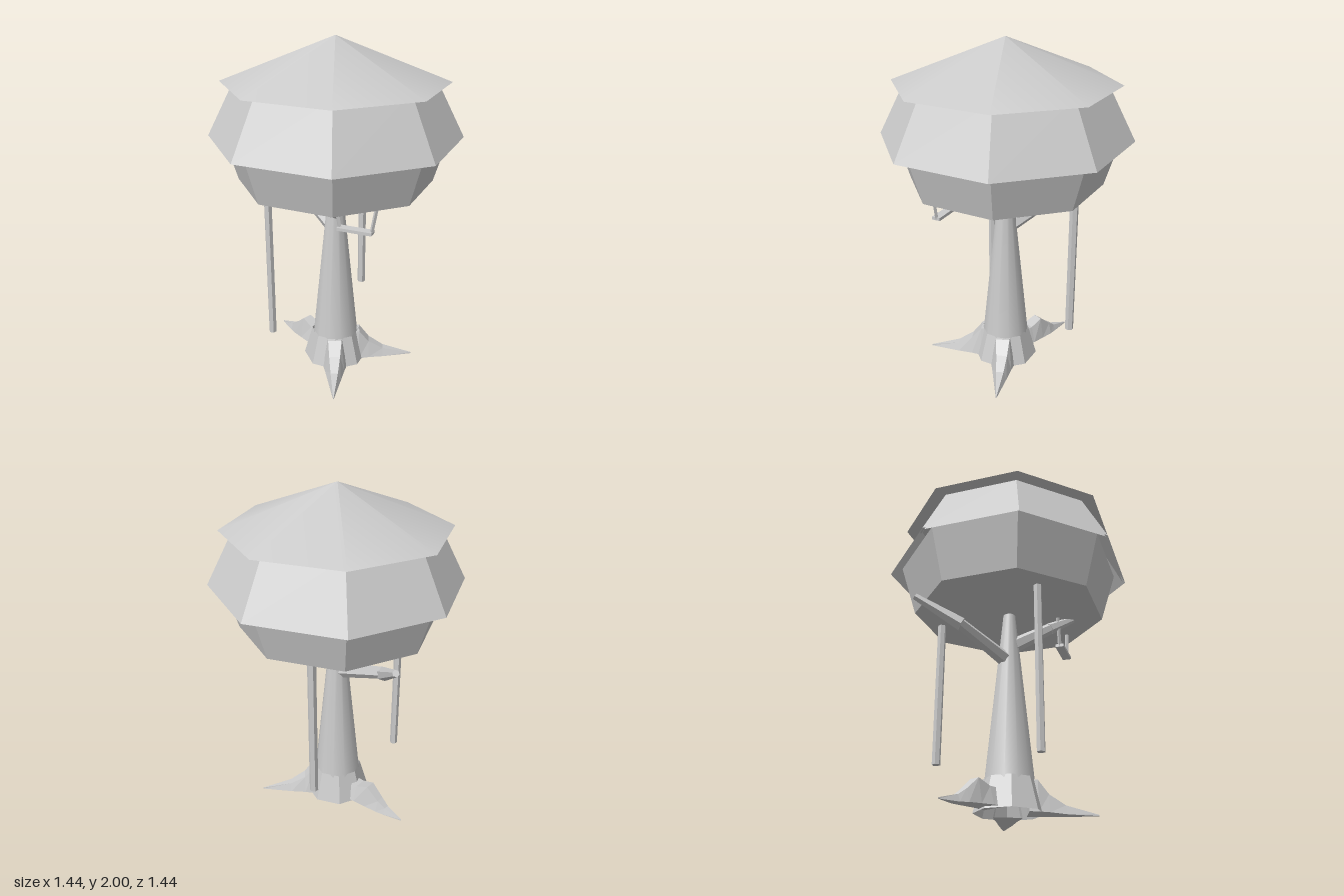
import * as THREE from 'three';

const flat = new THREE.MeshStandardMaterial({ color: 0xcccccc, flatShading: true, side: THREE.DoubleSide });
const smooth = new THREE.MeshStandardMaterial({ color: 0xcccccc, side: THREE.DoubleSide });
const V = (x, y, z) => new THREE.Vector3(x, y, z);

function add(parent, name, geometry, material = flat) {
  const mesh = new THREE.Mesh(geometry, material);
  mesh.name = name;
  parent.add(mesh);
  return mesh;
}

// Octagonal or round frustum between two heights
function frustum(parent, name, y0, r0, y1, r1, { sides = 8, open = true, material = flat } = {}) {
  const mesh = add(parent, name, new THREE.CylinderGeometry(r1, r0, y1 - y0, sides, 1, open), material);
  mesh.position.y = (y0 + y1) / 2;
  return mesh;
}

// Tapered straight limb between two points
function limb(parent, name, a, b, ra, rb, sides = 6) {
  const mesh = add(parent, name, new THREE.CylinderGeometry(rb, ra, a.distanceTo(b), sides));
  mesh.position.copy(a).lerp(b, 0.5);
  mesh.quaternion.setFromUnitVectors(V(0, 1, 0), b.clone().sub(a).normalize());
  return mesh;
}

// Root running along +x; each section is [distance, half width, bottom, top]
function rootGeometry(sections) {
  const positions = [];
  const rings = sections.map(([x, w, lo, hi]) => [
    [x, lo, w], [x, hi, w * 0.55], [x, hi, -w * 0.55], [x, lo, -w],
  ]);
  for (let i = 0; i < rings.length - 1; i++) {
    for (let j = 0; j < 4; j++) {
      const k = (j + 1) % 4;
      const [a, b, c, d] = [rings[i][j], rings[i + 1][j], rings[i + 1][k], rings[i][k]];
      positions.push(...a, ...b, ...c, ...a, ...c, ...d);
    }
  }
  const geometry = new THREE.BufferGeometry();
  geometry.setAttribute('position', new THREE.Float32BufferAttribute(positions, 3));
  geometry.computeVertexNormals();
  return geometry;
}

export function createModel() {
  const model = new THREE.Group();
  model.name = 'treeHouse';

  // Trunk and flared foot
  frustum(model, 'trunk', 0.17, 0.14, 1.2, 0.034, { sides: 12, material: smooth });
  frustum(model, 'trunkFoot', 0.01, 0.195, 0.19, 0.145);

  // Two straight roots and one humped root
  const straight = [[0.1, 0.08, 0.01, 0.19], [0.15, 0.075, 0.01, 0.185], [0.21, 0.06, 0.01, 0.11],
    [0.3, 0.04, 0.005, 0.055], [0.48, 0.002, 0.005, 0.012]];
  const humped = [[0.12, 0.07, 0.02, 0.12], [0.19, 0.065, 0.02, 0.12], [0.27, 0.055, 0.015, 0.15],
    [0.35, 0.045, 0.01, 0.08], [0.4, 0.03, 0.005, 0.045], [0.515, 0.002, 0.005, 0.012]];
  for (const side of [1, -1]) {
    add(model, side > 0 ? 'frontRoot' : 'backRoot', rootGeometry(straight)).rotation.y = -side * Math.PI / 4;
  }
  add(model, 'humpedRoot', rootGeometry(humped)).rotation.y = Math.PI;

  // Canopy house: walls with floor, sloping skirt, roof
  frustum(model, 'walls', 1.18, 0.56, 1.48, 0.652, { open: false });
  frustum(model, 'skirt', 1.44, 0.72, 1.78, 0.545);
  frustum(model, 'skirtLining', 1.44, 0.705, 1.77, 0.535);
  const roof = add(model, 'roof', new THREE.ConeGeometry(0.64, 0.25, 8, 1, true), smooth);
  roof.position.y = 1.875;
  const eaves = add(model, 'eaves', new THREE.CircleGeometry(0.64, 8));
  eaves.rotation.x = Math.PI / 2;
  eaves.position.y = 1.75;

  // Hanging poles
  limb(model, 'frontPole', V(-0.175, 0.24, 0.36), V(-0.178, 1.2, 0.36), 0.023, 0.023);
  limb(model, 'backPole', V(-0.168, 0.31, -0.4), V(-0.168, 1.2, -0.4), 0.025, 0.025);

  // Bent branch on the right
  const elbow = V(-0.39, 1.02, -0.05);
  limb(model, 'rightBranch', V(-0.03, 0.885, 0), elbow, 0.045, 0.032);
  limb(model, 'rightBranchTip', V(-0.365, 1.0, -0.035), V(-0.57, 1.15, -0.2), 0.042, 0.02);

  // Branch on the left, reaching up to the floor
  limb(model, 'leftBranch', V(0.01, 0.98, 0.01), V(0.2, 1.125, 0.18), 0.045, 0.032);
  limb(model, 'leftBranchTip', V(0.18, 1.11, 0.165), V(0.3, 1.19, 0.25), 0.036, 0.02);

  // Swing
  const swing = new THREE.Group();
  swing.name = 'swing';
  swing.position.set(0.32, 0, 0.155);
  swing.rotation.y = 0.42;
  model.add(swing);
  add(swing, 'swingSeat', new THREE.BoxGeometry(0.2, 0.018, 0.05)).position.y = 1.01;
  for (const side of [1, -1]) {
    limb(swing, 'swingRope', V(side * 0.092, 1.01, 0), V(side * 0.125, 1.19, 0), 0.011, 0.011, 4);
  }

  return model;
}
